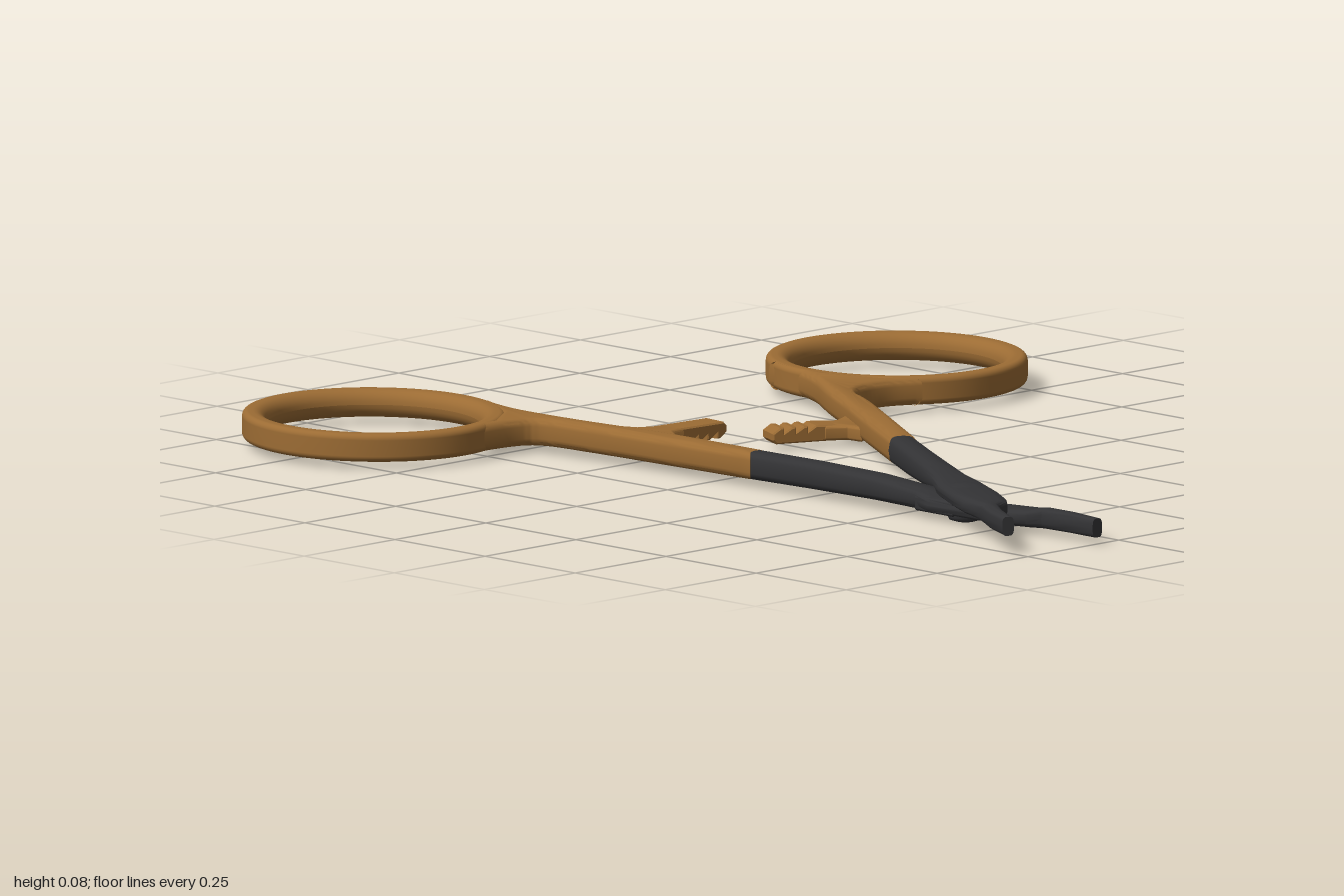
import * as THREE from 'three';
import { toCreasedNormals } from 'three/addons/utils/BufferGeometryUtils.js';

const gold = new THREE.MeshStandardMaterial({ color: 0x9c6c34 });
const black = new THREE.MeshStandardMaterial({ color: 0x333335 });
const MID = 0.045, THICK = 0.056;

function part(name, geometry, material) {
  const mesh = new THREE.Mesh(geometry, material);
  mesh.name = name;
  return mesh;
}

// Rounded bar through stations [x, z, y, width, height]
function loft(stations, sides = 20, power = 0.6) {
  const pos = [], idx = [];
  const n = stations.length;
  stations.forEach(([x, z, y, w, h], i) => {
    const a = stations[Math.max(i - 1, 0)], b = stations[Math.min(i + 1, n - 1)];
    const len = Math.hypot(b[0] - a[0], b[1] - a[1]);
    const dx = (b[0] - a[0]) / len, dz = (b[1] - a[1]) / len;
    for (let j = 0; j < sides; j++) {
      const t = (j / sides) * Math.PI * 2, c = Math.cos(t), s = Math.sin(t);
      const u = Math.sign(c) * Math.abs(c) ** power * w / 2;
      const v = Math.sign(s) * Math.abs(s) ** power * h / 2;
      pos.push(x + dz * u, y + v, z - dx * u);
    }
  });
  for (let i = 0; i < n - 1; i++) {
    for (let j = 0; j < sides; j++) {
      const k = (j + 1) % sides, a = i * sides + j, b = i * sides + k;
      idx.push(a, b, a + sides, b, b + sides, a + sides);
    }
  }
  // end caps
  const last = (n - 1) * sides;
  for (let j = 1; j < sides - 1; j++) {
    idx.push(0, j + 1, j, last, last + j, last + j + 1);
  }
  const g = new THREE.BufferGeometry();
  g.setAttribute('position', new THREE.Float32BufferAttribute(pos, 3));
  g.setIndex(idx);
  return toCreasedNormals(g, 0.7);
}

// Plate drawn in (x, z), extruded upward between two heights with soft edges
function plate(shape, y0, y1, bevel) {
  const g = new THREE.ExtrudeGeometry(shape, {
    depth: y1 - y0 - 2 * bevel, bevelEnabled: true, bevelThickness: bevel,
    bevelSize: bevel, bevelOffset: -bevel, bevelSegments: 4, curveSegments: 6,
  });
  g.rotateX(Math.PI / 2);
  g.translate(0, y1 - bevel, 0);
  return toCreasedNormals(g, 0.7);
}

const vecs = (pts) => pts.map(([x, z]) => new THREE.Vector2(x, z));

// Handle outline: one smooth curve down each side, closed beside the ring
function handleShape(left, right, back) {
  const s = new THREE.Shape();
  s.moveTo(...left[0]);
  s.splineThru(vecs(left.slice(1)));
  s.lineTo(...right[0]);
  s.splineThru(vecs(right.slice(1)));
  back.forEach((p) => s.lineTo(...p));
  return s;
}

// Finger ring: flat outer band, fully rounded inner side
function fingerRing(name, x, z, rx, rz) {
  const inner = 0.208, outer = 0.256, h = THICK / 2, c = 0.012;
  const p = [];
  const arc = (r, y, ar, ay, from, to) => {
    for (let i = 0; i <= 6; i++) {
      const t = from + (to - from) * i / 6;
      p.push(new THREE.Vector2(r + ar * Math.cos(t), y + ay * Math.sin(t)));
    }
  };
  arc(outer - c, -h + c, c, c, -Math.PI / 2, 0);
  arc(outer - c, h - c, c, c, 0, Math.PI / 2);
  arc(inner + 0.026, 0, 0.026, h, Math.PI / 2, Math.PI);
  arc(inner + 0.026, 0, 0.026, h, Math.PI, Math.PI * 1.5);
  p.push(p[0].clone());
  const mesh = part(name, new THREE.LatheGeometry(p, 72), gold);
  mesh.position.set(x, MID, z);
  mesh.scale.set(rx / outer, 1, rz / outer);
  return mesh;
}

// Locking tab with a row of saw teeth on one face
function ratchet(name, from, to, y, width, flip) {
  const dx = to[0] - from[0], dz = to[1] - from[1], len = Math.hypot(dx, dz);
  const s = new THREE.Shape();
  s.moveTo(0, -0.015);
  s.lineTo(len - 0.008, -0.015);
  s.lineTo(len, -0.007);
  const teeth = 4, run = 0.1 / teeth;
  for (let i = 0; i < teeth; i++) {
    s.lineTo(len - i * run, 0.006);
    s.lineTo(len - (i + 0.65) * run, 0.017);
    s.lineTo(len - (i + 1) * run, 0.017);
  }
  s.lineTo(0, 0.012);
  const g = new THREE.ExtrudeGeometry(s, {
    depth: width - 0.006, bevelThickness: 0.003, bevelSize: 0.003, bevelOffset: -0.003, bevelSegments: 1,
  });
  g.translate(0, 0, -width / 2 + 0.003);
  if (flip) g.rotateX(Math.PI);
  const mesh = part(name, g, gold);
  mesh.position.set(from[0], y, from[1]);
  mesh.rotation.y = Math.atan2(-dz, dx);
  return mesh;
}

export function createModel() {
  const model = new THREE.Group();
  const y0 = MID - THICK / 2, y1 = MID + THICK / 2;

  // Lower arm: nearly straight along z
  const lower = new THREE.Group();
  lower.name = 'lowerArm';
  lower.add(fingerRing('lowerFingerRing', -0.577, -0.737, 0.253, 0.263));
  lower.add(part('lowerHandle', plate(handleShape(
    [[-0.55, -0.48], [-0.45, -0.472], [-0.408, -0.44], [-0.395, -0.33], [-0.387, -0.2], [-0.372, 0.1]],
    [[-0.321, 0.1], [-0.323, -0.13], [-0.335, -0.27], [-0.349, -0.41], [-0.353, -0.56], [-0.33, -0.67]],
    [[-0.36, -0.66], [-0.405, -0.56], [-0.49, -0.5]],
  ), y0, y1, 0.016), gold));
  lower.add(part('lowerTabRoot', plate(new THREE.Shape(vecs(
    [[-0.37, -0.33], [-0.335, -0.3], [-0.32, -0.265], [-0.29, -0.25], [-0.27, -0.248],
      [-0.27, -0.186], [-0.3, -0.183], [-0.323, -0.15], [-0.37, -0.13]])), 0.03, 0.07, 0.008), gold));
  lower.add(ratchet('lowerRatchet', [-0.34, -0.222], [-0.155, -0.208], 0.055, 0.056, true));
  lower.add(part('lowerShaft', loft([
    [-0.347, 0.09, 0.045, 0.05, 0.056], [-0.338, 0.25, 0.045, 0.055, 0.054],
    [-0.33, 0.42, 0.043, 0.06, 0.05], [-0.326, 0.54, 0.037, 0.066, 0.042],
    [-0.322, 0.58, 0.031, 0.085, 0.032], [-0.316, 0.72, 0.03, 0.085, 0.03],
    [-0.315, 0.79, 0.032, 0.078, 0.034], [-0.313, 0.83, 0.034, 0.062, 0.036],
    [-0.304, 0.855, 0.035, 0.036, 0.04], [-0.302, 0.92, 0.035, 0.03, 0.04], [-0.309, 1.0, 0.035, 0.024, 0.038],
  ]), black));
  // shoulders of the lap joint
  lower.add(part('jointShoulder', plate(new THREE.Shape(vecs(
    [[-0.36, 0.545], [-0.3, 0.535], [-0.235, 0.565], [-0.245, 0.59], [-0.275, 0.65], [-0.36, 0.65]])),
  0.016, 0.046, 0.005), black));
  model.add(lower);

  // Upper arm: slanting across the lower one
  const upper = new THREE.Group();
  upper.name = 'upperArm';
  upper.add(fingerRing('upperFingerRing', 0.574, -0.447, 0.255, 0.257));
  upper.add(part('upperHandle', plate(handleShape(
    [[0.345, -0.57], [0.322, -0.47], [0.285, -0.385], [0.217, -0.28], [0.138, -0.148], [0.069, -0.037], [-0.058, 0.17]],
    [[-0.008, 0.195], [0.19, -0.122], [0.243, -0.222], [0.295, -0.262], [0.365, -0.26], [0.43, -0.23]],
    [[0.385, -0.285], [0.348, -0.395], [0.348, -0.5]],
  ), y0, y1, 0.016), gold));
  upper.add(part('upperTabRoot', plate(new THREE.Shape(vecs(
    [[0.2, -0.21], [0.138, -0.155], [0.1, -0.14], [0.06, -0.152], [0.035, -0.1], [0.07, -0.075],
      [0.075, -0.04], [0.1, -0.05]])), 0.016, 0.045, 0.006), gold));
  upper.add(ratchet('upperRatchet', [0.12, -0.1], [-0.052, -0.174], 0.03, 0.056, false));
  upper.add(part('upperShaft', loft([
    [-0.033, 0.18, 0.045, 0.054, 0.056], [-0.11, 0.304, 0.047, 0.057, 0.054],
    [-0.19, 0.435, 0.051, 0.062, 0.048], [-0.25, 0.53, 0.056, 0.07, 0.038],
    [-0.3, 0.61, 0.059, 0.092, 0.033], [-0.355, 0.71, 0.059, 0.098, 0.033],
    [-0.385, 0.765, 0.058, 0.09, 0.035], [-0.405, 0.8, 0.057, 0.068, 0.037],
    [-0.427, 0.822, 0.056, 0.036, 0.04], [-0.463, 0.875, 0.056, 0.03, 0.04], [-0.5, 0.945, 0.056, 0.024, 0.038],
  ]), black));
  model.add(upper);

  // Pivot rivet through both arms, domed at each end
  const rivet = [[0, 0.003], [0.02, 0.004], [0.032, 0.008], [0.035, 0.014], [0.035, 0.068], [0.031, 0.075], [0.018, 0.078], [0, 0.079]];
  const pivot = part('pivotRivet', toCreasedNormals(new THREE.LatheGeometry(vecs(rivet), 32), 0.8), black);
  pivot.position.set(-0.32, 0, 0.645);
  model.add(pivot);

  return model;
}
